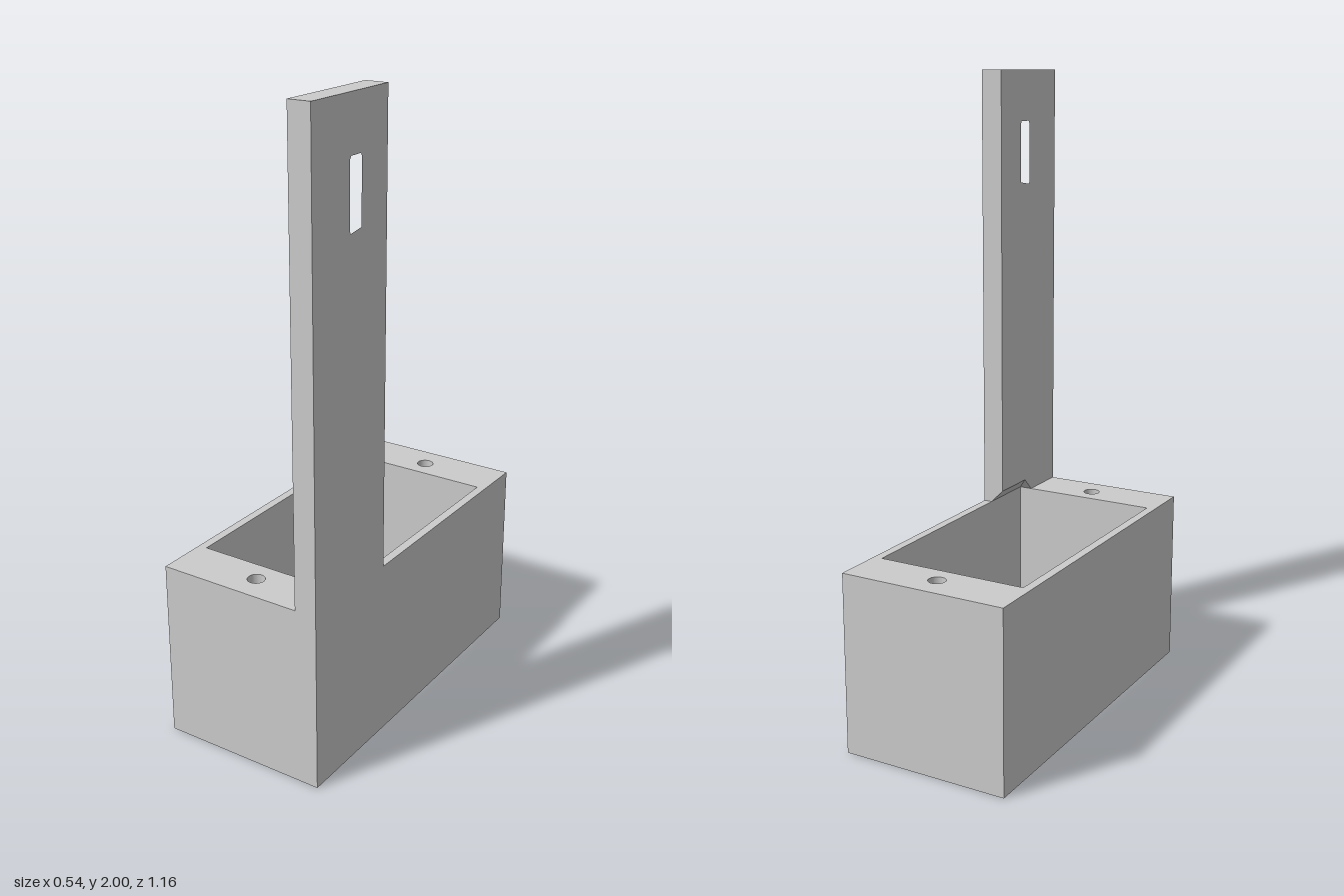
import * as THREE from 'three';

const material = new THREE.MeshStandardMaterial({ color: 0xcccccc, flatShading: true });

const X = 0.272, Z = 0.58, H = 0.573;          // base half width, half depth, height
const IX = 0.244, IZ = 0.42;                   // opening half width, half depth
const AX = 0.201, AZ = 0.223;                  // inner side and rear edge of the arm

const outline = (points) => points.map(([x, y]) => new THREE.Vector2(x, y));
const rectangle = (x, y) => outline([[-x, -y], [x, -y], [x, y], [-x, y]]);

// Open box with thick end blocks, each drilled with a screw hole
function makeBase() {
  const shape = new THREE.Shape(rectangle(X, Z));
  shape.holes.push(new THREE.Path(rectangle(IX, IZ)));
  for (const side of [-1, 1]) {
    shape.holes.push(new THREE.Path().absarc(0, side * 0.492, 0.027, 0, Math.PI * 2, true));
  }
  const geometry = new THREE.ExtrudeGeometry(shape, { depth: H, bevelEnabled: false, curveSegments: 32 });
  geometry.rotateX(-Math.PI / 2);
  const base = new THREE.Mesh(geometry, material);
  base.name = 'base';
  return base;
}

// Upright arm with a slot; its overhang above the opening is cut back at 45 degrees
function makeArm() {
  const rise = IX - AX;
  const profile = [[AZ, H + rise], [IZ - rise, H + rise], [IZ, H], [Z, H], [Z, 2], [AZ, 2]];
  const slot = [[0.35, 1.64], [0.403, 1.632], [0.406, 1.64], [0.406, 1.828], [0.4, 1.837], [0.354, 1.837], [0.35, 1.83]];
  const flip = (points) => outline(points.map(([z, y]) => [-z, y]));
  const shape = new THREE.Shape(flip(profile));
  shape.holes.push(new THREE.Path(flip(slot)));
  const geometry = new THREE.ExtrudeGeometry(shape, { depth: X - AX, bevelEnabled: false });
  geometry.rotateY(Math.PI / 2).translate(AX, 0, 0);

  // Slope the underside down and outward into the side wall and end block
  const p = geometry.attributes.position, wall = X - IX;
  for (let i = 0; i < p.count; i++) {
    if (p.getX(i) > IX && p.getY(i) < 1 && p.getZ(i) < 0.5) {
      p.setY(i, H - wall);
      if (p.getZ(i) > 0.3) p.setZ(i, IZ + wall);
    }
  }
  geometry.computeVertexNormals();
  const arm = new THREE.Mesh(geometry, material);
  arm.name = 'arm';
  return arm;
}

export function createModel() {
  const model = new THREE.Group();
  model.name = 'bracket';
  model.add(makeBase(), makeArm());
  return model;
}
